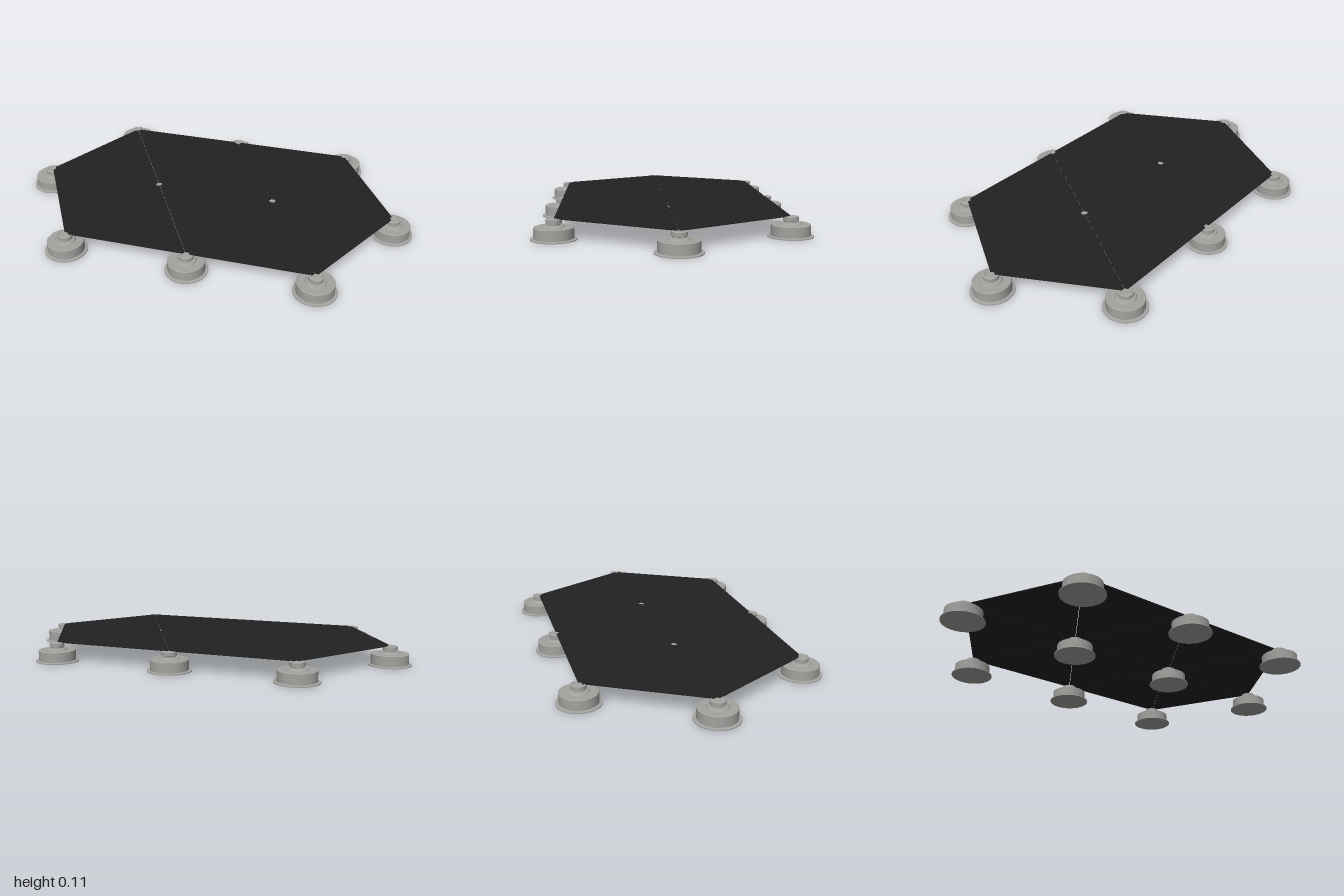
import * as THREE from 'three';

const SIDE = 0.68;                       // spacing of the triangular lattice
const COL = SIDE * Math.sqrt(3) / 2;     // spacing of its columns
const PANEL_Y = 0.101, PANEL_T = 0.005;

// lathe with crisp edges: one frustum band per profile segment
function turned(name, profile, material) {
  const group = new THREE.Group();
  group.name = name;
  for (let i = 0; i < profile.length - 1; i++) {
    const pts = [profile[i], profile[i + 1]].map(([r, y]) => new THREE.Vector2(r, y));
    const band = new THREE.Mesh(new THREE.LatheGeometry(pts, 40), material);
    band.name = name + 'Band';
    group.add(band);
  }
  return group;
}

// triangular panel with narrow seams and clipped corners
function panelGeometry(corners) {
  const centre = corners.reduce((s, p) => s.clone().add(p), new THREE.Vector2()).divideScalar(3);
  const inset = corners.map(p => p.clone().sub(centre).multiplyScalar(0.993).add(centre));
  const outline = [];
  inset.forEach((p, i) => {
    const prev = inset[(i + 2) % 3], next = inset[(i + 1) % 3];
    outline.push(p.clone().lerp(prev, 0.026), p.clone().lerp(next, 0.026));
  });
  const geo = new THREE.ExtrudeGeometry(new THREE.Shape(outline), { depth: PANEL_T, bevelEnabled: false });
  geo.rotateX(-Math.PI / 2);             // shape y becomes -z, depth becomes y
  return geo;
}

export function createModel() {
  const model = new THREE.Group();
  model.name = 'modularDeck';
  const grey = new THREE.MeshStandardMaterial({ color: 0xa3a29f });
  grey.name = 'footGrey';
  const black = new THREE.MeshStandardMaterial({ color: 0x222222 });
  black.name = 'panelBlack';

  // lattice nodes: [x, z of the first node, number of nodes]
  const columns = [
    [-1.5 * COL, -0.75 * SIDE, 2],
    [-0.5 * COL, -1.25 * SIDE, 3],
    [0.5 * COL, -0.75 * SIDE, 3],
    [1.5 * COL, -0.25 * SIDE, 2],
  ];
  const nodes = [];
  for (const [x, z, n] of columns)
    for (let i = 0; i < n; i++) nodes.push(new THREE.Vector2(x, -(z + i * SIDE)));

  // feet: flange, drum, shoulder, neck and cap with a shallow recess
  const profile = [
    [0, 0], [0.116, 0], [0.116, 0.005], [0.1, 0.008], [0.1, 0.061], [0.096, 0.064],
    [0.056, 0.064], [0.05, 0.072], [0.034, 0.074], [0.034, 0.08], [0.04, 0.082],
    [0.04, 0.101], [0.03, 0.104], [0.027, 0.1], [0, 0.1],
  ];
  for (const p of nodes) {
    const foot = turned('foot', profile, grey);
    foot.position.set(p.x, 0, -p.y);
    model.add(foot);
  }

  // panels: one for every three mutually neighbouring nodes
  const near = (a, b) => Math.abs(a.distanceTo(b) - SIDE) < 0.01;
  for (let i = 0; i < nodes.length; i++)
    for (let j = i + 1; j < nodes.length; j++)
      for (let k = j + 1; k < nodes.length; k++) {
        const [a, b, c] = [nodes[i], nodes[j], nodes[k]];
        if (!near(a, b) || !near(b, c) || !near(a, c)) continue;
        const ccw = b.clone().sub(a).cross(c.clone().sub(a)) > 0;
        const panel = new THREE.Mesh(panelGeometry(ccw ? [a, b, c] : [a, c, b]), black);
        panel.name = 'panel';
        panel.position.y = PANEL_Y;
        model.add(panel);
      }
  return model;
}
